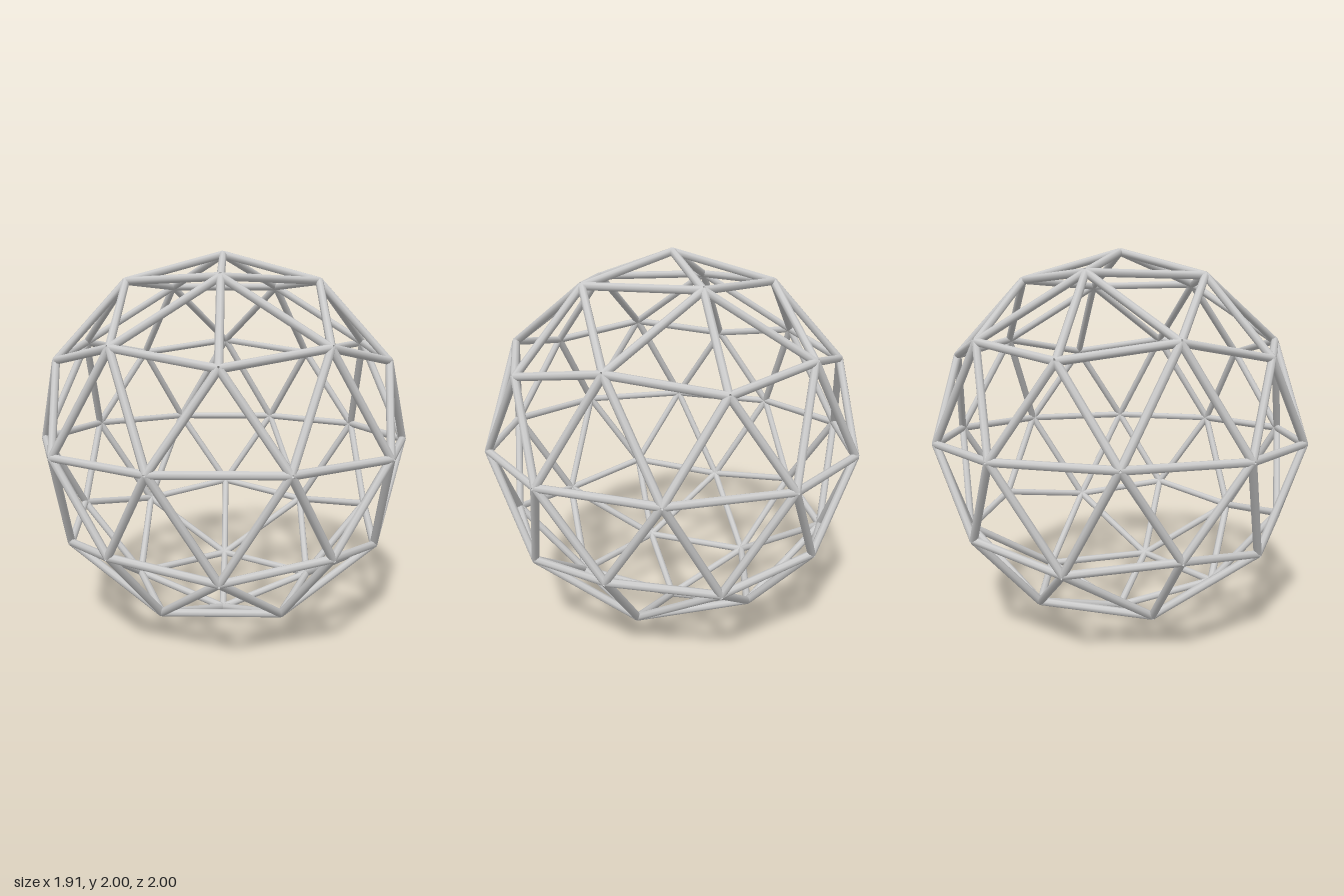
import * as THREE from 'three';

const R = 0.981;      // radius of the joints
const TUBE = 0.02;    // radius of a strut
const UP = new THREE.Vector3(0, 1, 0);

// Twelve corners of an icosahedron standing on a corner
function icosahedronCorners() {
  const corners = [new THREE.Vector3(0, 1, 0), new THREE.Vector3(0, -1, 0)];
  const y = 1 / Math.sqrt(5);
  for (let i = 0; i < 5; i++) {
    const a = (i * 2 * Math.PI) / 5;
    const p = new THREE.Vector3(2 * y * Math.cos(a), y, 2 * y * Math.sin(a));
    corners.push(p, p.clone().negate());
  }
  return corners;
}

// Pairs of points lying closer together than the limit
function closePairs(points, limit) {
  const pairs = [];
  points.forEach((a, i) => {
    for (const b of points.slice(i + 1)) {
      if (a.distanceTo(b) < limit) pairs.push([a, b]);
    }
  });
  return pairs;
}

export function createModel() {
  const model = new THREE.Group();
  model.name = 'geodesicSphere';
  const material = new THREE.MeshStandardMaterial({ color: 0xcccccc });

  // Joints: the corners plus the edge midpoints pushed out to the sphere
  const corners = icosahedronCorners();
  const midpoints = closePairs(corners, 1.1).map(([a, b]) => a.clone().add(b).normalize());
  const joints = [...corners, ...midpoints];

  // Struts: one tube between each pair of neighbouring joints
  const tube = new THREE.CylinderGeometry(TUBE, TUBE, 1, 8);
  for (const [a, b] of closePairs(joints, 0.7)) {
    const along = b.clone().sub(a).multiplyScalar(R);
    const strut = new THREE.Mesh(tube, material);
    strut.name = 'strut';
    strut.scale.y = along.length();
    strut.quaternion.setFromUnitVectors(UP, along.normalize());
    strut.position.copy(a).add(b).multiplyScalar(R / 2);
    strut.position.y += 1;
    model.add(strut);
  }
  return model;
}
